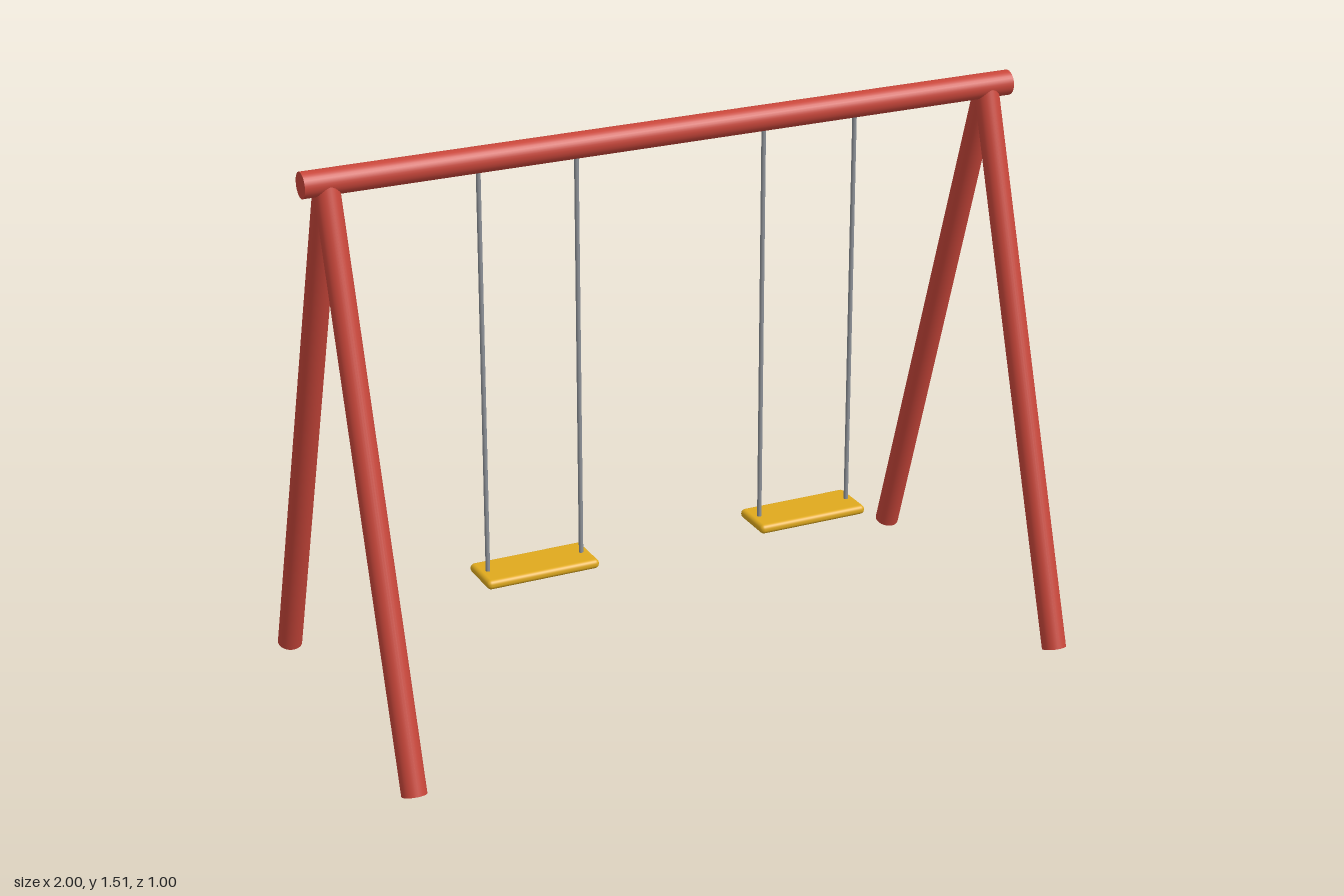
import * as THREE from 'three';
import { RoundedBoxGeometry } from 'three/addons/geometries/RoundedBoxGeometry.js';

const paint = (name, color) => {
  const m = new THREE.MeshStandardMaterial({ color });
  m.name = name;
  return m;
};

// Closed round bar running between two points
function bar(name, from, to, radius, sides, material) {
  const a = new THREE.Vector3(...from), b = new THREE.Vector3(...to);
  const dir = b.clone().sub(a);
  const mesh = new THREE.Mesh(new THREE.CylinderGeometry(radius, radius, dir.length(), sides), material);
  mesh.name = name;
  mesh.position.copy(a).add(b).multiplyScalar(0.5);
  mesh.quaternion.setFromUnitVectors(new THREE.Vector3(0, 1, 0), dir.normalize());
  return mesh;
}

export function createModel() {
  const red = paint('red frame', 0xc8463a);
  const yellow = paint('yellow seat', 0xe0aa1e);
  const grey = paint('grey rope', 0x8e9298);
  const model = new THREE.Group();
  model.name = 'swingSet';
  const beamY = 1.478;

  // Top beam
  model.add(bar('topBeam', [-1, beamY, 0], [1, beamY, 0], 0.034, 32, red));

  for (const side of [-1, 1]) {
    const label = side > 0 ? 'left' : 'right';

    // Pair of splayed legs
    for (const end of [-1, 1]) {
      const name = label + (end > 0 ? 'FrontLeg' : 'BackLeg');
      model.add(bar(name, [side * 0.934, 0.01, end * 0.467], [side * 0.934, beamY - 0.008, 0], 0.033, 32, red));
    }

    // Swing: seat hung from two ropes
    const swing = new THREE.Group();
    swing.name = label + 'Swing';
    swing.position.x = side * 0.4;
    const seat = new THREE.Mesh(new RoundedBoxGeometry(0.32, 0.026, 0.133, 4, 0.012), yellow);
    seat.name = 'seat';
    seat.position.y = 0.331;
    swing.add(seat);
    for (const x of [-0.134, 0.134]) {
      swing.add(bar('rope', [x, 0.335, 0], [x, beamY - 0.02, 0], 0.006, 16, grey));
    }
    model.add(swing);
  }
  return model;
}
